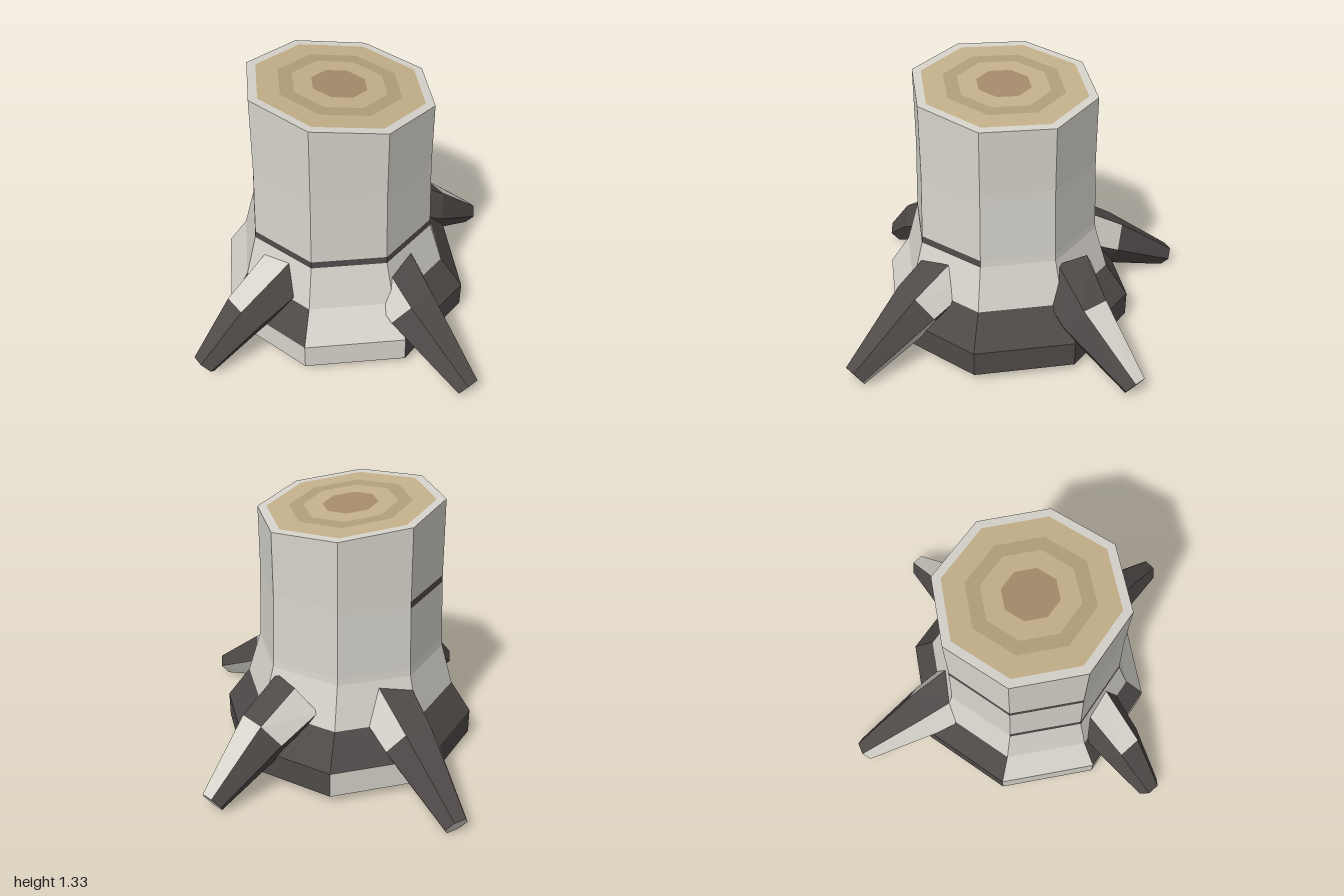
import * as THREE from 'three';

const material = (color) =>
  new THREE.MeshStandardMaterial({ color, flatShading: true, side: THREE.DoubleSide });
const MATERIALS = {
  lightBark: material(0xd6d3cb),
  darkBark: material(0x4f4a48),
  paleWood: material(0xc4b08a),
  ringWood: material(0xb29e7a),
  heartWood: material(0xa58b6b),
};

// Collects polygons by colour and turns each colour into one mesh
class Faces {
  constructor() { this.lists = {}; }

  add(key, a, b, c, d) {
    const list = (this.lists[key] ??= []);
    const corners = d ? [a, b, c, a, c, d] : [a, b, c];
    for (const p of corners) list.push(p.x, p.y, p.z);
  }

  build(name) {
    const group = new THREE.Group();
    group.name = name;
    for (const [key, list] of Object.entries(this.lists)) {
      const geometry = new THREE.BufferGeometry();
      geometry.setAttribute('position', new THREE.Float32BufferAttribute(list, 3));
      geometry.computeVertexNormals();
      const mesh = new THREE.Mesh(geometry, MATERIALS[key]);
      mesh.name = `${name} ${key}`;
      group.add(mesh);
    }
    return group;
  }
}

// Octagonal trunk ring; the topmost one follows the slanted cut
const SIDES = 8;
const cutHeight = (x, z) => 1.293 - 0.1 * (x + 0.035) - 0.02 * z;
function trunkRing(y, radius) {
  const cx = -0.035 + (radius - 0.455) * 0.09;
  return Array.from({ length: SIDES }, (_, k) => {
    const a = (k * Math.PI * 2) / SIDES;
    const x = cx + radius * Math.cos(a);
    const z = 0.015 + radius * Math.sin(a);
    return new THREE.Vector3(x, y ?? cutHeight(x, z), z);
  });
}

// Hollow trunk: dark patches near the ground and two dark bark bands
function makeTrunk() {
  const faces = new Faces();
  const profile = [
    [0.05, 0.645], [0.18, 0.645], [0.34, 0.535], [0.555, 0.472],
    [0.59, 0.469], [0.905, 0.457], [0.94, 0.456], [null, 0.455],
  ];
  const darkSides = [
    [0, 1, 5, 7],          // foot
    [0, 1, 3, 5, 6, 7],    // flare
    [], [1, 2, 3, 4],      // lower band
    [], [4, 5],            // upper band
    [],
  ];
  const rings = profile.map(([y, r]) => trunkRing(y, r));
  darkSides.forEach((dark, row) => {
    const low = rings[row], high = rings[row + 1];
    for (let k = 0; k < SIDES; k++) {
      const n = (k + 1) % SIDES;
      faces.add(dark.includes(k) ? 'darkBark' : 'lightBark', low[k], high[k], high[n], low[n]);
    }
  });
  return faces.build('trunk');
}

// Cut top with concentric growth rings
function makeCutTop() {
  const faces = new Faces();
  const bands = [
    [0.455, 0.41, 'lightBark'], [0.41, 0.3, 'paleWood'], [0.3, 0.23, 'ringWood'],
    [0.23, 0.135, 'paleWood'], [0.135, 0, 'heartWood'],
  ];
  const at = (r, k) => {
    const a = (k * Math.PI * 2) / SIDES;
    const x = -0.035 + r * Math.cos(a), z = 0.015 + r * Math.sin(a);
    return new THREE.Vector3(x, cutHeight(x, z), z);
  };
  for (const [outer, inner, key] of bands) {
    for (let k = 0; k < SIDES; k++) {
      if (inner) faces.add(key, at(outer, k), at(inner, k), at(inner, k + 1), at(outer, k + 1));
      else faces.add(key, at(outer, k), at(0, 0), at(outer, k + 1));
    }
  }
  return faces.build('cutTop');
}

// Bent, tapering six-sided root; light lists the pale faces (segment * 6 + side)
function makeRoot(name, centres, radii, light) {
  const faces = new Faces();
  const points = centres.map((c) => new THREE.Vector3(...c));
  const up = new THREE.Vector3(0, 1, 0);
  const rings = points.map((p, i) => {
    const along = points[Math.min(i + 1, 2)].clone().sub(points[Math.max(i - 1, 0)]).normalize();
    const side = up.clone().cross(along).normalize();
    const normal = along.clone().cross(side);
    return Array.from({ length: 6 }, (_, k) => {
      const a = (k * Math.PI) / 3;
      return p.clone()
        .addScaledVector(side, radii[i] * Math.cos(a))
        .addScaledVector(normal, radii[i] * Math.sin(a));
    });
  });
  for (let k = 0; k < 6; k++) {
    const n = (k + 1) % 6;
    for (let s = 0; s < 2; s++) {
      const key = light.includes(s * 6 + k) ? 'lightBark' : 'darkBark';
      faces.add(key, rings[s][k], rings[s][n], rings[s + 1][n], rings[s + 1][k]);
    }
    // End caps
    faces.add('lightBark', rings[0][n], rings[0][k], points[0]);
    faces.add('lightBark', rings[2][k], rings[2][n], points[2]);
  }
  return faces.build(name);
}

export function createModel() {
  const model = new THREE.Group();
  model.name = 'treeStump';
  model.add(makeTrunk(), makeCutTop());

  const radii = [0.165, 0.14, 0.063];
  model.add(
    makeRoot('leftRoot', [[0.36, 0.4, -0.09], [0.57, 0.27, -0.08], [0.905, 0.055, -0.14]], radii, [0, 7]),
    makeRoot('rightRoot', [[-0.36, 0.41, 0.14], [-0.655, 0.255, 0.19], [-0.905, 0.055, 0.225]], [0.155, 0.12, 0.063], [1]),
    makeRoot('frontRoot', [[0.045, 0.41, 0.32], [0.07, 0.27, 0.58], [0.15, 0.055, 0.965]], radii, [0, 2, 11]),
    makeRoot('backRoot', [[0.025, 0.41, -0.32], [0.06, 0.27, -0.58], [0.115, 0.055, -0.965]], radii, [0, 2, 6]),
  );
  return model;
}
